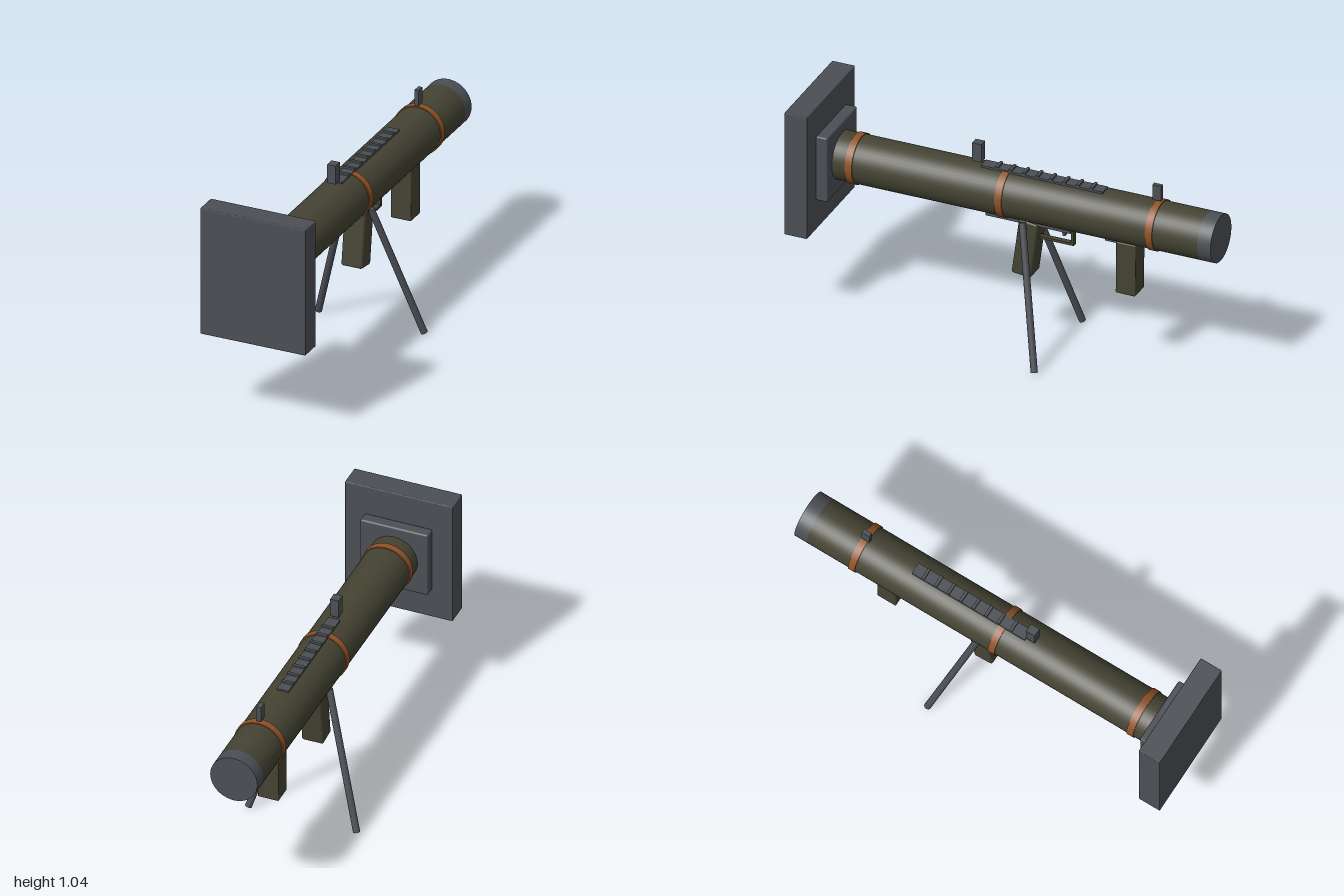
import * as THREE from 'three';
import { RoundedBoxGeometry } from 'three/addons/geometries/RoundedBoxGeometry.js';

export function createModel() {
  const group = new THREE.Group();
  group.name = 'shoulderLauncher';
  const mat = (name, color) => {
    const m = new THREE.MeshStandardMaterial({ color });
    m.name = name;
    return m;
  };
  const steel = mat('gunmetal', 0x4b4f54);
  const olive = mat('olive', 0x444333);
  const rust = mat('rustOrange', 0x8f5228);
  const AXIS_Y = 0.735;

  const add = (name, geo, m, x, y, z, tilt = 0) => {
    const mesh = new THREE.Mesh(geo, m);
    mesh.name = name;
    mesh.position.set(x, y, z);
    mesh.rotation.x = tilt;
    group.add(mesh);
    return mesh;
  };
  // Box given by its extents, centred on x = 0, with an optional small bevel
  const block = (name, m, w, y0, y1, z0, z1, bevel = 0, tilt = 0) => {
    const h = y1 - y0, d = z1 - z0;
    const geo = bevel ? new RoundedBoxGeometry(w, h, d, 1, bevel) : new THREE.BoxGeometry(w, h, d);
    return add(name, geo, m, 0, (y0 + y1) / 2, (z0 + z1) / 2, tilt);
  };
  // Cylinder lying along z
  const drum = (name, m, r, z0, z1) =>
    add(name, new THREE.CylinderGeometry(r, r, z1 - z0, 40).rotateX(Math.PI / 2), m, 0, AXIS_Y, (z0 + z1) / 2);

  // Barrel, tail cap and coloured bands
  drum('barrel', olive, 0.113, -0.935, 0.84);
  drum('tailCap', steel, 0.113, -1, -0.935);
  for (const z of [0.755, 0.03, -0.7]) drum('band', rust, 0.118, z - 0.017, z + 0.017);

  // Square front head with its stepped mounting plate
  block('frontHead', steel, 0.516, 0.424, 1.042, 0.89, 1, 0.004);
  block('headMount', steel, 0.325, 0.573, 0.897, 0.835, 0.892, 0.008);

  // Top rail with cross ridges
  block('topRail', steel, 0.056, 0.838, 0.854, -0.44, 0.15);
  for (let i = 0; i < 8; i++) {
    const z = 0.075 - i * 0.0655;
    block('railRidge', steel, 0.056, 0.85, 0.863, z - 0.007, z + 0.007);
  }

  // Sights
  block('frontSight', steel, 0.04, 0.862, 0.953, 0.152, 0.197);
  block('rearSight', steel, 0.02, 0.862, 0.937, -0.714, -0.673);

  // Underside plates and grips
  block('gripPlate', steel, 0.09, 0.616, 0.63, -0.29, 0.12);
  block('rearGripPlate', steel, 0.07, 0.616, 0.63, -0.61, -0.455);
  block('frontGrip', olive, 0.104, 0.352, 0.632, -0.118, -0.023, 0.01, -0.13);
  block('rearGrip', olive, 0.1, 0.372, 0.63, -0.608, -0.512, 0.005, -0.01);

  // Trigger guard and trigger
  block('guardBar', olive, 0.025, 0.538, 0.55, -0.292, -0.12);
  block('guardPost', olive, 0.025, 0.538, 0.62, -0.292, -0.28);
  block('trigger', steel, 0.016, 0.576, 0.626, -0.245, -0.231, 0, 0.25);

  // Splayed bipod legs
  for (const s of [1, -1]) {
    const top = new THREE.Vector3(s * 0.068, 0.635, -0.068);
    const foot = new THREE.Vector3(s * 0.259, 0.005, -0.212);
    const dir = top.clone().sub(foot);
    const leg = add('bipodLeg', new THREE.CylinderGeometry(0.016, 0.016, dir.length(), 16), steel, 0, 0, 0);
    leg.position.copy(top).add(foot).multiplyScalar(0.5);
    leg.quaternion.setFromUnitVectors(new THREE.Vector3(0, 1, 0), dir.normalize());
  }
  return group;
}
